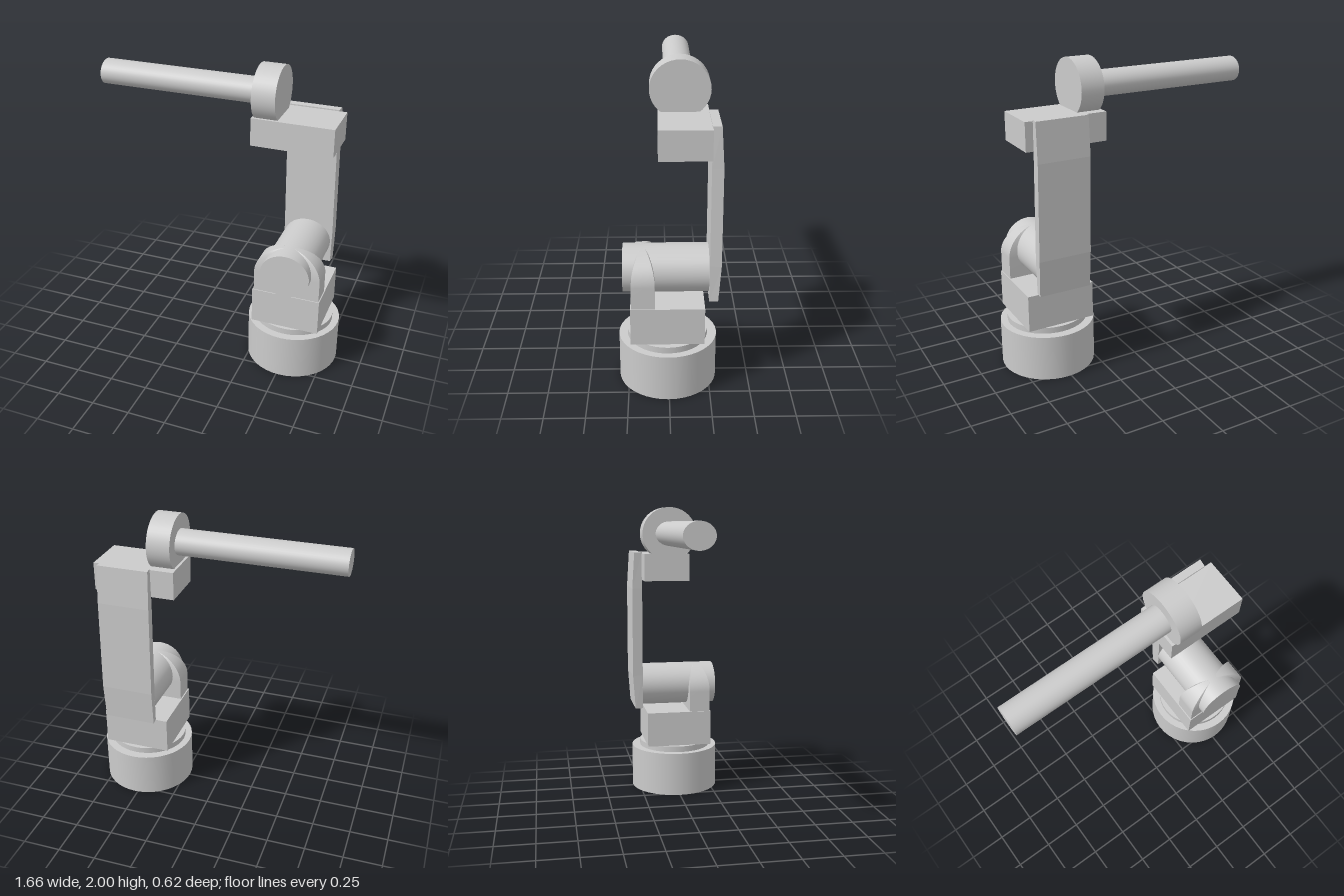
import * as THREE from 'three';

const material = new THREE.MeshStandardMaterial({ color: 0xcccccc });
const facetedMaterial = new THREE.MeshStandardMaterial({ color: 0xcccccc, flatShading: true });

export function createModel() {
  const model = new THREE.Group();

  function add(name, geometry, mat = material) {
    const mesh = new THREE.Mesh(geometry, mat);
    mesh.name = name;
    model.add(mesh);
  }

  // Box given by its lower and upper limits on each axis
  function box(name, [x0, x1], [y0, y1], [z0, z1]) {
    const g = new THREE.BoxGeometry(x1 - x0, y1 - y0, z1 - z0);
    g.translate((x0 + x1) / 2, (y0 + y1) / 2, (z0 + z1) / 2);
    add(name, g);
  }

  // Elliptical cylinder along an axis; size is its full extent in x, y, z
  function cylinder(name, axis, size, centre) {
    const g = new THREE.CylinderGeometry(0.5, 0.5, 1, 40);
    if (axis === 'x') g.rotateZ(Math.PI / 2);
    if (axis === 'z') g.rotateX(Math.PI / 2);
    g.scale(...size).translate(...centre);
    add(name, g);
  }

  // Base and turntable
  cylinder('base', 'y', [0.61, 0.3, 0.61], [0.521, 0.15, 0.006]);
  cylinder('turntable', 'y', [0.52, 0.04, 0.5], [0.521, 0.32, 0.008]);
  box('turretBlock', [0.296, 0.742], [0.34, 0.58], [-0.214, 0.234]);

  // Shoulder bracket: straight sides closing into a four-sided vault
  const rows = 14;
  const bracket = new THREE.BoxGeometry(1, 1, 1, 1, rows, 1);
  const bp = bracket.attributes.position;
  for (let i = 0; i < bp.count; i++) {
    const row = Math.round((bp.getY(i) + 0.5) * rows);
    const angle = (Math.max(row - 1, 0) / (rows - 1)) * Math.PI / 2;
    const width = Math.max(Math.cos(angle), 0.002);
    const y = row === 0 ? 0.57 : 0.72 + 0.178 * Math.sin(angle);
    bp.setXYZ(i, 0.52 + bp.getX(i) * 0.432 * width, y, 0.157 + bp.getZ(i) * 0.142 * width);
  }
  bracket.computeVertexNormals();
  add('shoulderBracket', bracket);
  cylinder('shoulderJoint', 'z', [0.32, 0.294, 0.525], [0.52, 0.752, 0.0175]);

  // Upright arm: a slab whose back face bends inward at both ends
  const sections = [
    { y: 0.605, back: -0.293, left: 0.695, right: 0.355 },
    { y: 0.84, back: -0.309, left: 0.698, right: 0.355 },
    { y: 1.45, back: -0.309, left: 0.688, right: 0.348 },
    { y: 1.698, back: -0.293, left: 0.686, right: 0.35 },
  ];
  const arm = new THREE.BoxGeometry(1, 1, 1, 1, 3, 1);
  const ap = arm.attributes.position;
  for (let i = 0; i < ap.count; i++) {
    const s = sections[Math.round((ap.getY(i) + 0.5) * 3)];
    const front = ap.getZ(i) > 0;
    const inset = front ? 0.006 : 0;
    const x = ap.getX(i) > 0 ? s.left - inset : s.right + inset;
    ap.setXYZ(i, x, s.y, front ? -0.24 : s.back);
  }
  arm.computeVertexNormals();
  add('uprightArm', arm, facetedMaterial);

  // Elbow block, wrist disc and forearm rod
  box('elbowBlock', [0.205, 0.73], [1.51, 1.69], [-0.242, 0.064]);
  cylinder('wristDisc', 'x', [0.15, 0.35, 0.364], [0.296, 1.825, -0.069]);
  cylinder('forearmRod', 'x', [1.056, 0.162, 0.188], [-0.302, 1.825, -0.069]);

  return model;
}
